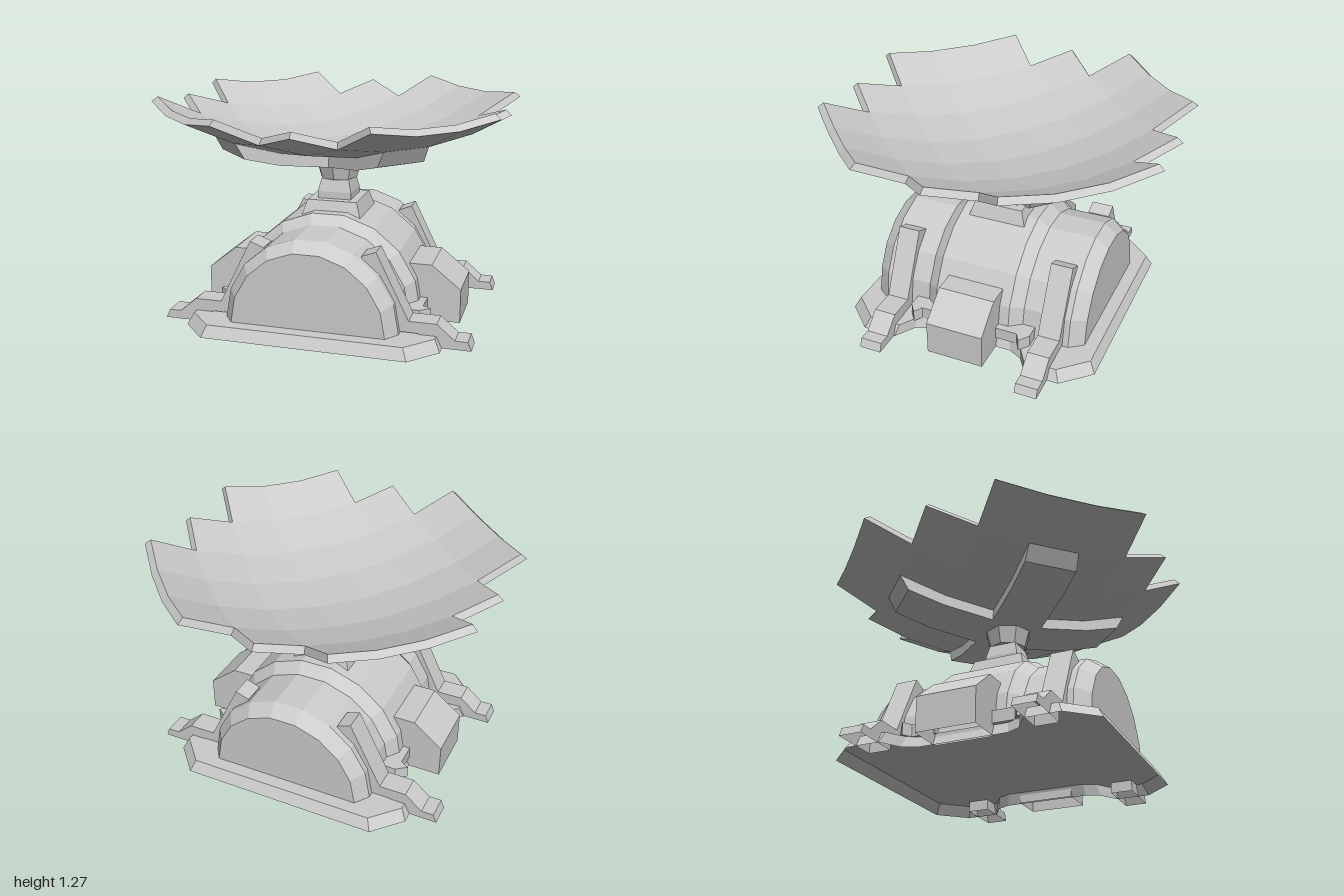
import * as THREE from 'three';

const mat = new THREE.MeshStandardMaterial({ color: 0xcccccc, flatShading: true });
const shellMat = new THREE.MeshStandardMaterial({ color: 0xcccccc, flatShading: true, side: THREE.DoubleSide });

function add(parent, name, geo, material = mat) {
  const mesh = new THREE.Mesh(geo, material);
  mesh.name = name;
  parent.add(mesh);
  return mesh;
}

// Extrude a profile (x, y) along z between z0 and z1
function profile(points, z0, z1) {
  const shape = new THREE.Shape(points.map(([x, y]) => new THREE.Vector2(x, y)));
  return new THREE.ExtrudeGeometry(shape, { depth: z1 - z0, bevelEnabled: false }).translate(0, 0, z0);
}

// Extrude a plan outline (x, z) upwards between y0 and y1
function plan(points, y0, y1) {
  return profile(points.map(([x, z]) => [x, -z]), y0, y1).rotateX(-Math.PI / 2);
}

// Leave out the faces lying on the ground, so the part is an open shell below
function openBelow(geo) {
  const p = geo.attributes.position, kept = [];
  for (let i = 0; i < p.count; i += 3) {
    if (Math.max(p.getY(i), p.getY(i + 1), p.getY(i + 2)) < 0.001) continue;
    for (let k = i; k < i + 3; k++) kept.push(p.getX(k), p.getY(k), p.getZ(k));
  }
  const shell = new THREE.BufferGeometry();
  shell.setAttribute('position', new THREE.Float32BufferAttribute(kept, 3));
  shell.computeVertexNormals();
  return shell;
}

// Square frustum from y0 to y1 with half widths h0 (bottom) and h1 (top)
function frustum(h0, h1, y0, y1) {
  return new THREE.CylinderGeometry(h1 * Math.SQRT2, h0 * Math.SQRT2, y1 - y0, 4)
    .rotateY(Math.PI / 4).translate(0, (y0 + y1) / 2, 0);
}

// Bowl made of square tiles on a sphere, turned 45 degrees
const STEP = 0.1463, CENTRE_Y = 2.975;
function bowlPoint(a, b, R) {
  const u = R * Math.sin(a * STEP);
  const v = R * Math.cos(a * STEP) * Math.sin(b * STEP);
  const y = CENTRE_Y - R * Math.cos(a * STEP) * Math.cos(b * STEP);
  return [(u + v) * Math.SQRT1_2, y, (u - v) * Math.SQRT1_2];
}

// Thick patch of the tiles where has(i, j) holds; top and bottom map grid corners to points
function tilePatch(has, top, bottom) {
  const pos = [];
  const quad = (a, b, c, d) => pos.push(...a, ...b, ...c, ...a, ...c, ...d);
  for (let i = -3; i <= 3; i++) {
    for (let j = -3; j <= 3; j++) {
      if (!has(i, j)) continue;
      const corners = [[-0.5, -0.5], [0.5, -0.5], [0.5, 0.5], [-0.5, 0.5]].map(([p, q]) => [i + p, j + q]);
      const t = corners.map(([a, b]) => top(a, b));
      const l = corners.map(([a, b]) => bottom(a, b));
      quad(...t);
      quad(l[3], l[2], l[1], l[0]);
      [[0, -1], [1, 0], [0, 1], [-1, 0]].forEach(([di, dj], k) => {
        const n = (k + 1) % 4;
        if (!has(i + di, j + dj)) quad(l[k], l[n], t[n], t[k]);
      });
    }
  }
  const geo = new THREE.BufferGeometry();
  geo.setAttribute('position', new THREE.Float32BufferAttribute(pos, 3));
  geo.computeVertexNormals();
  return geo;
}

export function createModel() {
  const model = new THREE.Group();
  model.name = 'dishStation';

  // Base plate: chamfered outline, waisted at the sides, sloping in towards the top, hollow below
  const quarter = [[0.58, 0.77], [0.73, 0.61], [0.73, 0.41], [0.62, 0.34], [0.58, 0.26]];
  const right = [...quarter, ...quarter.map(([x, z]) => [x, -z]).reverse()];
  const base = plan([...right, ...right.map(([x, z]) => [-x, -z])], 0, 0.065);
  const p = base.attributes.position;
  for (let i = 0; i < p.count; i++) {
    if (p.getY(i) > 0.03) p.setXYZ(i, p.getX(i) * 0.955, p.getY(i), p.getZ(i) * 0.955);
  }
  add(model, 'basePlate', openBelow(base), shellMat);

  // Arched hall: half lathe laid along z, with a raised middle section
  const rings = [[0, -0.66], [0.44, -0.66], [0.498, -0.58], [0.498, -0.3], [0.55, -0.23],
    [0.55, 0.23], [0.498, 0.3], [0.498, 0.58], [0.44, 0.66], [0, 0.66]];
  const hall = new THREE.LatheGeometry(rings.map(([r, z]) => new THREE.Vector2(r, z)), 9, -Math.PI / 2, Math.PI)
    .rotateX(-Math.PI / 2).translate(0, 0.065, 0);
  add(model, 'archedHall', hall);

  // Side equipment, repeated on both sides by a half turn
  const foot = [[0.28, 0.07], [0.6, 0.07], [0.6, 0], [0.89, 0], [0.87, 0.05], [0.8, 0.05],
    [0.7, 0.135], [0.545, 0.135], [0.36, 0.51], [0.28, 0.48]];
  const housing = [[0.4, 0.07], [0.56, 0.07], [0.56, 0], [0.77, 0], [0.77, 0.2], [0.6, 0.335], [0.4, 0.335]];
  const conduit = [[0.45, 0.16], [0.58, 0.16], [0.58, 0.3], [0.63, 0.33], [0.57, 0.375], [0.45, 0.375]];
  for (const turn of [0, Math.PI]) {
    const side = new THREE.Group();
    side.name = turn ? 'rightSide' : 'leftSide';
    side.rotation.y = turn;
    model.add(side);
    add(side, 'sideHousing', openBelow(profile(housing, -0.17, 0.17)), shellMat);
    for (const s of [-1, 1]) {
      add(side, 'buttressFoot', openBelow(profile(foot, s * 0.48 - 0.065, s * 0.48 + 0.065)), shellMat);
      add(side, 'conduit', plan(conduit.map(([x, z]) => [x, s * z]), 0.065, 0.135));
    }
  }

  // Pedestal and neck
  add(model, 'pedestalFoot', frustum(0.176, 0.148, 0.575, 0.665));
  add(model, 'pedestalBlock', frustum(0.1, 0.1, 0.66, 0.705));
  add(model, 'pedestalTaper', frustum(0.1, 0.082, 0.705, 0.78));
  add(model, 'neck', new THREE.CylinderGeometry(0.15, 0.11, 0.14, 8).translate(0, 0.85, 0));

  // Stepped dish and the cross-shaped brace beneath it
  const inDish = (i, j) => Math.max(Math.abs(i), Math.abs(j)) <= 3 && Math.abs(i) + Math.abs(j) <= 4;
  const inBrace = (i, j) => (i === 0 && Math.abs(j) <= 2) || (j === 0 && Math.abs(i) <= 2);
  const tuck = a => (Math.abs(a) > 2 ? Math.sign(a) * 2.21 : a);
  add(model, 'dish', tilePatch(inDish, (a, b) => bowlPoint(a * 0.985, b * 0.985, 1.998),
    (a, b) => bowlPoint(a, b, 2.04)));
  add(model, 'dishBrace', tilePatch(inBrace, (a, b) => bowlPoint(a, b, 2.03),
    (a, b) => bowlPoint(tuck(a), tuck(b), 2.107)));

  return model;
}
